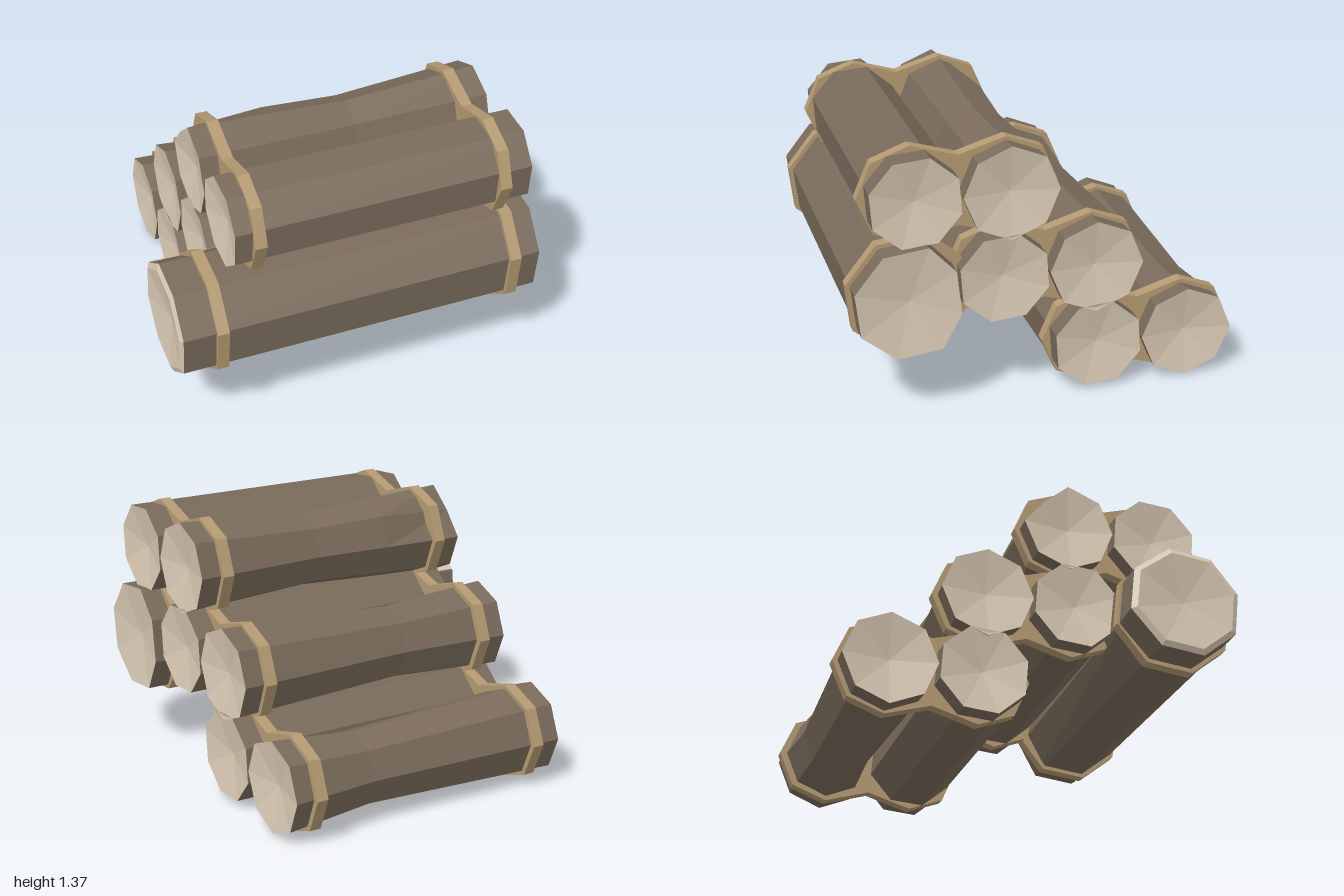
import * as THREE from 'three';

const mat = (name, color, flat = true) => {
  const m = new THREE.MeshStandardMaterial({ color, flatShading: flat });
  m.name = name;
  return m;
};

function meshFrom(name, positions, material) {
  const g = new THREE.BufferGeometry();
  g.setAttribute('position', new THREE.Float32BufferAttribute(positions, 3));
  g.computeVertexNormals();
  const mesh = new THREE.Mesh(g, material);
  mesh.name = name;
  return mesh;
}

// Octagonal ring of points around an axis along x
function ring(x, cy, cz, r, turn = 0, n = 8) {
  return Array.from({ length: n }, (_, j) => {
    const a = turn + (j * Math.PI * 2) / n;
    return [x, cy + r * Math.sin(a), cz + r * Math.cos(a)];
  });
}

// Skin between successive rings
function skin(rings) {
  const out = [];
  for (let i = 0; i + 1 < rings.length; i++) {
    const a = rings[i], b = rings[i + 1], n = a.length;
    for (let j = 0; j < n; j++) {
      const k = (j + 1) % n;
      out.push(...a[j], ...b[j], ...b[k], ...a[j], ...b[k], ...a[k]);
    }
  }
  return out;
}

// Fan closing one ring; depth sinks its centre into the log; dir is the facing along x
function cap(r, dir, depth = 0) {
  const n = r.length;
  const c = [0, 1, 2].map((d) => r.reduce((s, p) => s + p[d], 0) / n);
  c[0] -= dir * depth;
  const out = [];
  for (let j = 0; j < n; j++) {
    const p = r[j], q = r[(j + 1) % n];
    out.push(...c, ...(dir > 0 ? q : p), ...(dir > 0 ? p : q));
  }
  return out;
}

export function createModel() {
  const bark = mat('bark', 0x7a6b5b);
  const wood = mat('cutWood', 0xd8c8b3);
  const rope = mat('strap', 0xb49a72);
  const model = new THREE.Group();

  function addLog(name, rings) {
    const log = new THREE.Group();
    log.name = name;
    const last = rings[rings.length - 1];
    log.add(meshFrom('bark', skin(rings), bark));
    log.add(meshFrom('cutEndRight', cap(last, 1, 0.04), wood));
    log.add(meshFrom('cutEndLeft', cap(rings[0], -1, 0.04), wood));
    model.add(log);
    return log;
  }

  // Strap: solid band following a (z, y) outline, leaning slightly along z
  function addStrap(name, outline, x, width, lean) {
    const [a, b] = [-0.5, 0.5].map((s) =>
      outline.map(([z, y]) => [x + s * width - lean * z, y, z]));
    model.add(meshFrom(name, [...skin([a, b]), ...cap(a, -1), ...cap(b, 1)], rope));
  }

  // Three stacked pairs: centre z, centre y, waist position of the rear log
  const layers = [
    ['bottom', -0.4975, 0.26, 0.45],
    ['middle', -0.01, 0.685, -0.05],
    ['top', 0.425, 1.125, 0.2],
  ];
  const x0 = -0.64, x1 = 0.91;
  const quarter = [[0.4975, 0], [0.42, 0.18], [0.235, 0.25], [0, 0.18]];
  const half = [...quarter, ...quarter.slice(0, 3).reverse().map(([z, y]) => [-z, y])];
  const outline = [...half, ...half.slice(1, -1).reverse().map(([z, y]) => [z, -y])];

  for (const [name, cz, cy, waist] of layers) {
    // Straight front log, turned a little
    addLog(name + 'FrontLog', [x0, x1].map((x) =>
      ring(x, cy, cz + 0.235, 0.235, THREE.MathUtils.degToRad(18))));

    // Rear log, narrowed at the waist
    const z = cz - 0.235;
    const rings = [ring(x0, cy, z, 0.24), ring(waist, cy, z, 0.197), ring(x1, cy, z, 0.24)];
    if (name === 'top') {
      // Dented edge near one end
      rings[0][3] = [x0, cy + 0.13, z - 0.13];
      rings.splice(1, 0, ring(-0.2, cy, z, 0.218));
    }
    addLog(name + 'RearLog', rings);

    // Straps round the pair
    const around = outline.map(([dz, dy]) => [cz + dz, cy + dy]);
    addStrap(name + 'StrapLeft', around, -0.51, 0.06, 0.012);
    addStrap(name + 'StrapRight', around, 0.77, 0.06, 0.012);
  }

  // Large log resting against the front
  const by = 0.63, bz = 0.69, turn = THREE.MathUtils.degToRad(16);
  const bigRings = [ring(-0.94, by, bz, 0.295, turn), ring(0.95, by, bz, 0.295, turn)];
  for (const j of [3, 4]) {
    bigRings[0][j][2] -= 0.015;
    bigRings[1][j][2] += 0.045;
  }
  const big = addLog('largeLog', bigRings);

  // Bevelled rim on one end, replacing its plain cut
  big.remove(big.getObjectByName('cutEndLeft'));
  const rim = bigRings[0].map(([, y, z]) => [-0.955, by + (y - by) * 0.9, bz + (z - bz) * 0.9]);
  big.add(meshFrom('endRim', skin([rim, bigRings[0]]), wood));
  big.add(meshFrom('cutEndLeft', cap(rim, -1, 0.04), wood));

  // Strip of bare wood along the upper rear edge
  const at = (t, u) => {
    const lerp = (p, q, s) => p.map((v, i) => v + (q[i] - v) * s);
    const p = lerp(lerp(bigRings[0][2], bigRings[1][2], t), lerp(bigRings[0][3], bigRings[1][3], t), u);
    return [p[0], p[1] + 0.004, p[2] - 0.003];
  };
  const strip = [];
  for (let i = 0; i < 3; i++) {
    const t = i * 0.07, s = t + 0.07;
    strip.push(...at(t, 0.82), ...at(s, 0.9), ...at(s, 0.97), ...at(t, 0.82), ...at(s, 0.97), ...at(t, 0.97));
  }
  big.add(meshFrom('bareWoodStrip', strip, wood));

  const bigOutline = ring(0, by, bz, 0.318, turn).map(([, y, z]) => [z, y]);
  addStrap('largeStrapLeft', bigOutline, -0.745, 0.06, 0);
  addStrap('largeStrapRight', bigOutline, 0.81, 0.06, 0);

  return model;
}
